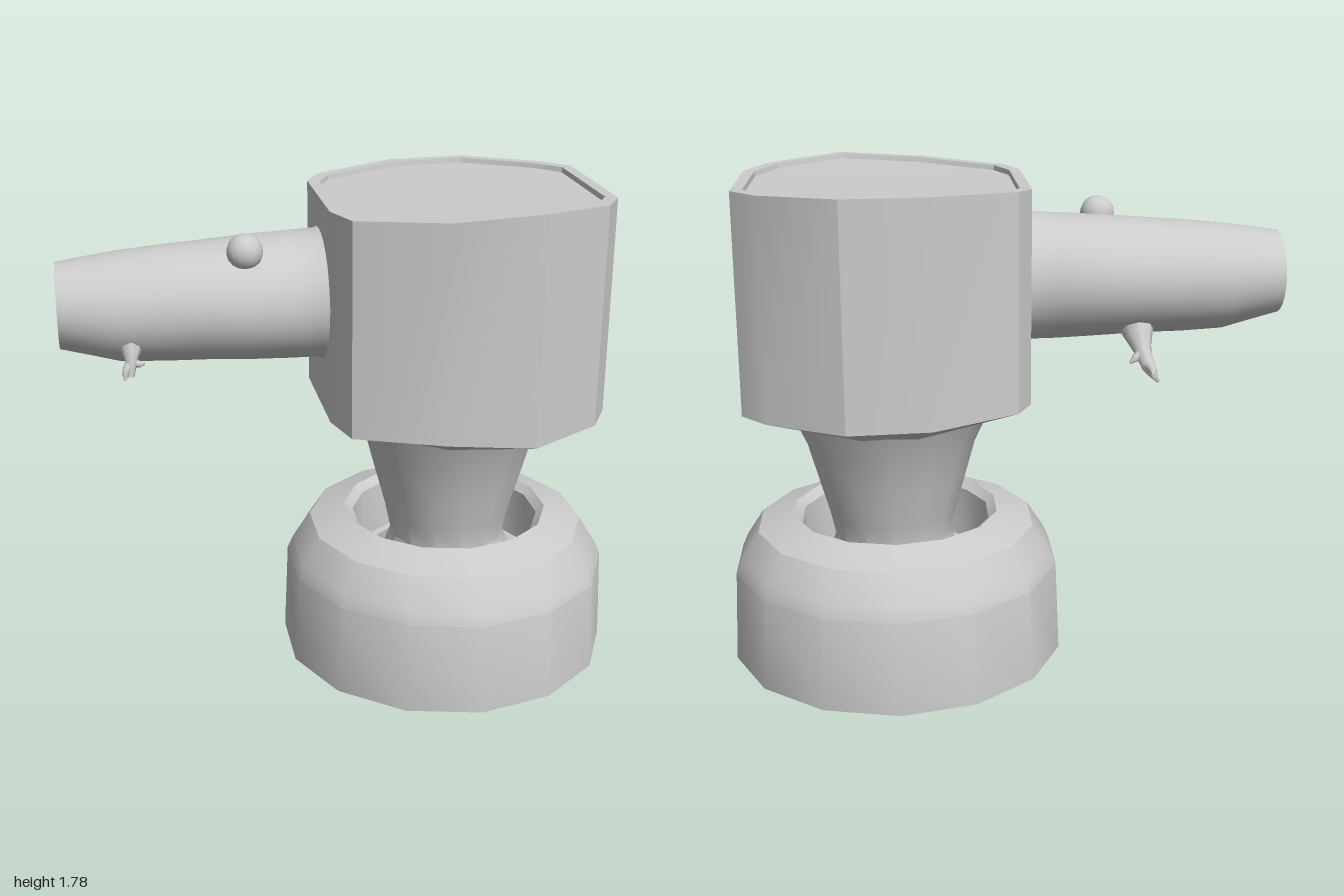
import * as THREE from 'three';
import { toCreasedNormals } from 'three/addons/utils/BufferGeometryUtils.js';

const V = (x, y, z) => new THREE.Vector3(x, y, z);
const material = new THREE.MeshStandardMaterial({ color: 0xcccccc, side: THREE.DoubleSide });

function mesh(name, geometry, crease = 0.6) {
  const m = new THREE.Mesh(crease ? toCreasedNormals(geometry, crease) : geometry, material);
  m.name = name;
  return m;
}

// Skin over a list of closed rings with equal point counts
function loft(rings) {
  const n = rings[0].length, index = [];
  for (let r = 0; r < rings.length - 1; r++) {
    for (let i = 0; i < n; i++) {
      const j = (i + 1) % n, a = r * n, b = a + n;
      index.push(a + i, a + j, b + j, a + i, b + j, b + i);
    }
  }
  const g = new THREE.BufferGeometry().setFromPoints(rings.flat());
  g.setIndex(index);
  return g;
}

function lathe(name, profile, x) {
  const m = mesh(name, new THREE.LatheGeometry(profile.map(p => new THREE.Vector2(...p)), 14), 0.55);
  m.position.x = x;
  return m;
}

// Tapered, rounded twig through a few points
function twig(name, points, radii) {
  const curve = new THREE.CatmullRomCurve3(points);
  const steps = 8, n = 8, frames = curve.computeFrenetFrames(steps);
  const rings = [];
  for (let s = 0; s <= steps; s++) {
    const t = s / steps, f = t * (radii.length - 1), k = Math.min(Math.floor(f), radii.length - 2);
    const r = THREE.MathUtils.lerp(radii[k], radii[k + 1], f - k), c = curve.getPoint(t);
    rings.push(Array.from({ length: n }, (_, i) => {
      const a = i / n * Math.PI * 2;
      return c.clone().addScaledVector(frames.normals[s], Math.cos(a) * r)
        .addScaledVector(frames.binormals[s], Math.sin(a) * r);
    }));
  }
  return mesh(name, loft(rings), 1.2);
}

export function createModel() {
  const model = new THREE.Group();
  model.name = 'hammerShapedObject';

  // Round base with an open well in its top
  model.add(lathe('base', [
    [0, 0], [0.617, 0], [0.602, 0.34], [0.58, 0.39], [0.515, 0.49], [0.38, 0.537],
    [0.35, 0.51], [0.34, 0.32], [0, 0.3],
  ], 0.39));

  // Neck, flared into the well floor and up to the head
  model.add(lathe('neck', [
    [0.33, 0.31], [0.24, 0.37], [0.215, 0.44], [0.235, 0.535], [0.275, 0.68], [0.31, 0.81], [0.36, 0.92],
  ], 0.4));

  // Head: x, z, bottom height and top height of each corner
  const corners = [
    [0.91, 0.23, 0.975, 1.755], [0.91, -0.27, 0.985, 1.76], [0.82, -0.37, 0.985, 1.76],
    [0.55, -0.5, 0.98, 1.765], [0.26, -0.48, 0.98, 1.765], [-0.04, -0.33, 0.99, 1.755],
    [-0.09, -0.24, 0.995, 1.75], [-0.09, 0.23, 1.0, 1.75], [-0.04, 0.37, 0.99, 1.75],
    [0.26, 0.515, 1.0, 1.765], [0.57, 0.52, 0.97, 1.782], [0.83, 0.37, 0.975, 1.765],
  ];
  const cx = 0.41;
  const inset = (s, drop) => corners.map(([x, z, , y]) => V(cx + (x - cx) * s, y - drop, 0.01 + (z - 0.01) * s));
  const collar = corners.map(([x, z]) => {
    const l = Math.hypot(x - cx, z);
    return V(cx + (x - cx) / l * 0.355, 0.91, z / l * 0.355);
  });
  const flat = corners.map(() => V(cx, 1.742, 0.01));
  model.add(mesh('head', loft([
    collar, corners.map(([x, z, y]) => V(x, y, z)), inset(1, 0),
    inset(0.92, 0), inset(0.915, 0.018), flat,
  ]), 0.5));

  // Arm: x, bottom, top, half depth; the last sections turn back into the hollow end
  const sections = [
    [0.03, 1.08, 1.7, 0.3], [-0.05, 1.15, 1.66, 0.25], [-0.1, 1.178, 1.633, 0.228],
    [-0.2, 1.18, 1.627, 0.236], [-0.35, 1.188, 1.618, 0.253], [-0.5, 1.195, 1.607, 0.236],
    [-0.65, 1.197, 1.597, 0.217], [-0.8, 1.205, 1.583, 0.203], [-0.9, 1.232, 1.57, 0.182],
    [-1, 1.258, 1.555, 0.16], [-1, 1.275, 1.538, 0.142], [-0.85, 1.25, 1.54, 0.155],
    [-0.6, 1.25, 1.54, 0.155], [-0.6, 1.399, 1.401, 0.001],
  ];
  model.add(mesh('arm', loft(sections.map(([x, lo, hi, d]) => Array.from({ length: 28 }, (_, i) => {
    const a = i / 28 * Math.PI * 2;
    return V(x, (lo + hi) / 2 + Math.sin(a) * (hi - lo) / 2, Math.cos(a) * d);
  }))), 0.8));

  // Round knob on the upper front of the arm
  const knob = mesh('knob', new THREE.SphereGeometry(0.062, 16, 12), 0);
  knob.position.set(-0.365, 1.603, 0.14);
  model.add(knob);

  // Small forked sprig low on the front of the arm
  const frontSprig = new THREE.Group();
  frontSprig.name = 'frontSprig';
  frontSprig.add(
    twig('sprigStem', [V(-0.76, 1.31, 0.15), V(-0.765, 1.26, 0.19), V(-0.77, 1.205, 0.21)], [0.045, 0.022, 0.012]),
    twig('sprigForkLeft', [V(-0.765, 1.26, 0.185), V(-0.74, 1.245, 0.195), V(-0.72, 1.25, 0.2)], [0.018, 0.012, 0.004]),
    twig('sprigForkRight', [V(-0.765, 1.255, 0.19), V(-0.785, 1.23, 0.21), V(-0.79, 1.2, 0.225)], [0.018, 0.013, 0.005]),
  );

  // Longer forked sprig under the back of the arm
  const backSprig = new THREE.Group();
  backSprig.name = 'backSprig';
  backSprig.add(
    twig('sprigStem', [V(-0.475, 1.235, -0.14), V(-0.485, 1.175, -0.21), V(-0.5, 1.13, -0.27), V(-0.53, 1.085, -0.3)],
      [0.06, 0.03, 0.026, 0.006]),
    twig('sprigForkLeft', [V(-0.485, 1.17, -0.22), V(-0.455, 1.155, -0.24), V(-0.435, 1.14, -0.25)], [0.022, 0.014, 0.004]),
    twig('sprigForkRight', [V(-0.495, 1.14, -0.26), V(-0.505, 1.13, -0.3), V(-0.505, 1.12, -0.33)], [0.022, 0.016, 0.005]),
  );
  model.add(frontSprig, backSprig);

  return model;
}
